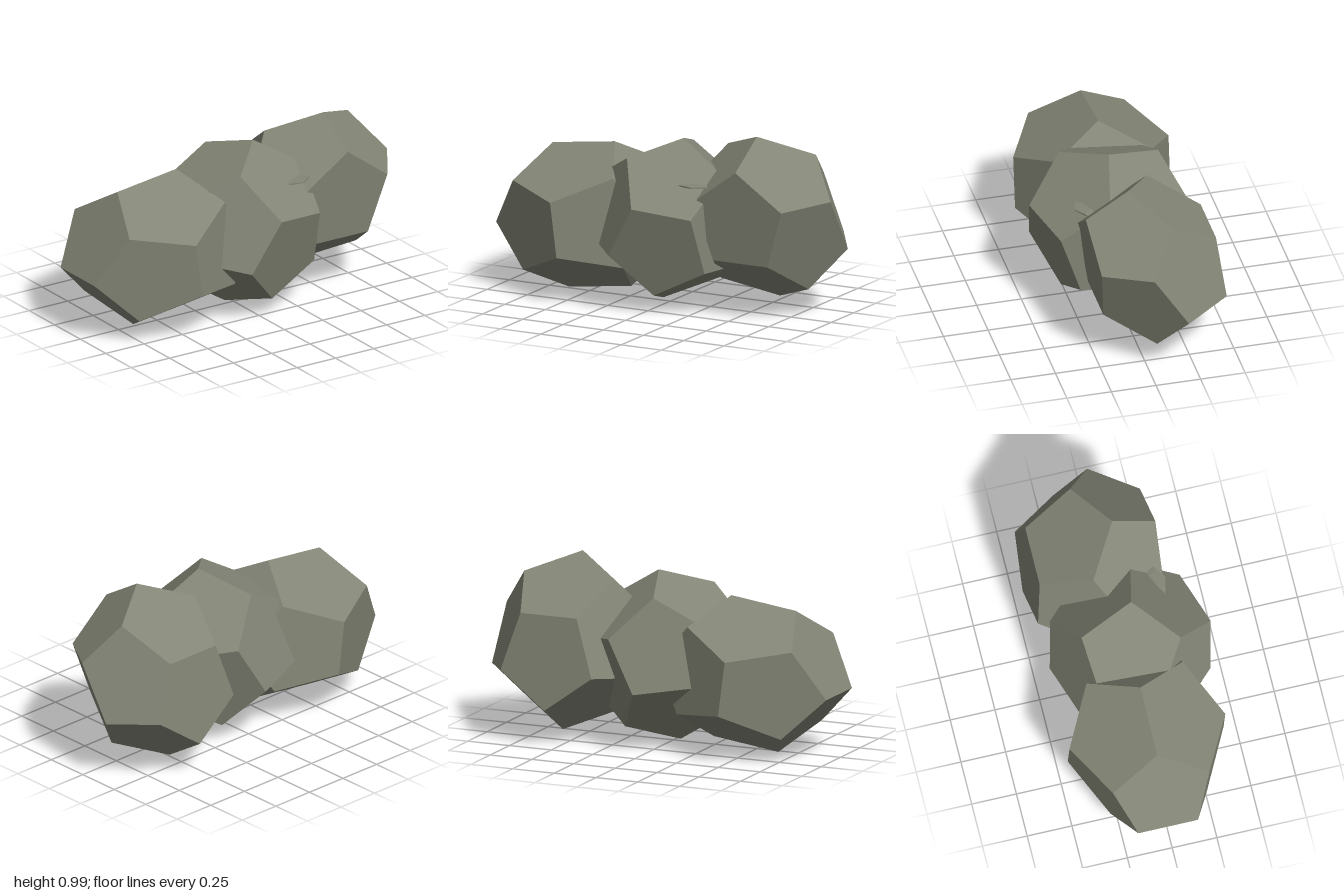
import * as THREE from 'three';

export function createModel() {
  const group = new THREE.Group();
  const stone = new THREE.MeshStandardMaterial({ color: 0x838676 });
  stone.name = 'mossy grey stone';

  // Twelve-sided boulder: centre, radii along its own axes, then its rotation
  function boulder(name, centre, radii, quaternion) {
    const mesh = new THREE.Mesh(new THREE.DodecahedronGeometry(1, 0), stone);
    mesh.name = name;
    mesh.position.set(...centre);
    mesh.scale.set(...radii);
    mesh.quaternion.copy(quaternion);
    group.add(mesh);
  }
  const turn = (x, y, z) => new THREE.Quaternion().setFromEuler(new THREE.Euler(x, y, z));

  // Middle boulder is tilted on all axes, so it is aimed by two directions
  const xAxis = new THREE.Vector3(0.014, 0.2565, -0.079).normalize();
  const zAxis = new THREE.Vector3(0.0875, 0.07, 0.247);
  const yAxis = zAxis.cross(xAxis).normalize();
  const tilt = new THREE.Quaternion().setFromRotationMatrix(
    new THREE.Matrix4().makeBasis(xAxis, yAxis, xAxis.clone().cross(yAxis)));

  boulder('rightBoulder', [-0.4985, 0.4275, -0.0225], [0.544, 0.43, 0.466], turn(0, 0, 0.13));
  boulder('middleBoulder', [0.0275, 0.4775, 0.0125], [0.467, 0.467, 0.467], tilt);
  boulder('leftBoulder', [0.56, 0.527, -0.09], [0.471, 0.4, 0.501], turn(-1.007, 0, 0));

  // Thin flake wedged between the middle and left boulders
  boulder('stoneFlake', [0.265, 0.725, 0.2], [0.1, 0.008, 0.075], turn(0, 0.2, 0));

  return group;
}
